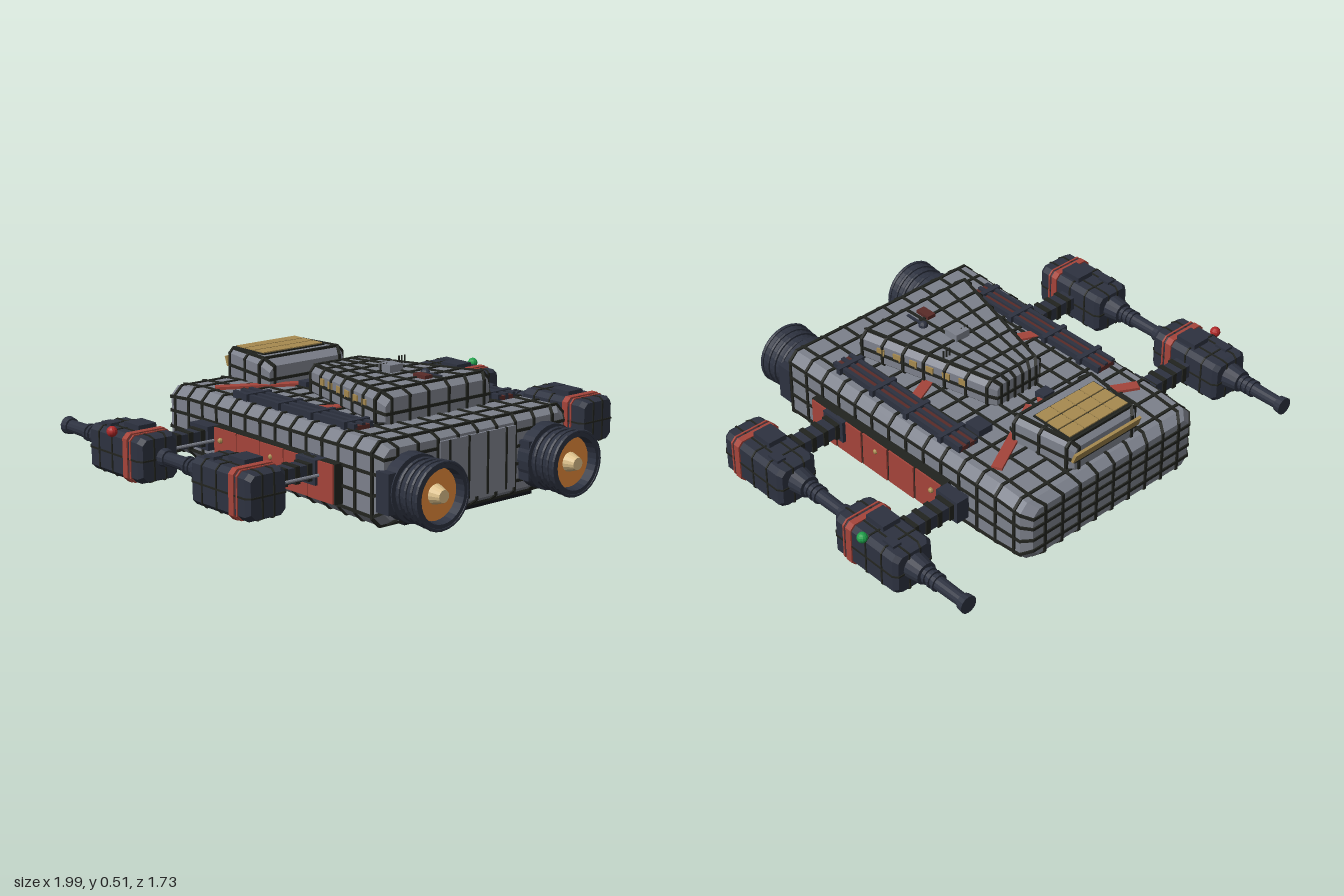
import * as THREE from 'three';
import { mergeGeometries } from 'three/addons/utils/BufferGeometryUtils.js';

const mat = (color) => new THREE.MeshStandardMaterial({ color, flatShading: true, side: THREE.DoubleSide });
const M = {
  hull: mat(0x7d818c), seam: mat(0x22241f), dark: mat(0x2d3240), black: mat(0x14161c), red: mat(0xa5443a),
  deepRed: mat(0x5a2b28), orange: mat(0xe68a3a), tan: mat(0xdcc08a), gold: mat(0xa88b50),
  green: mat(0x1fa04a), lampRed: mat(0xb02828),
};
const V = (x, y, z) => new THREE.Vector3(x, y, z);

function add(parent, name, geo, material, x = 0, y = 0, z = 0) {
  const m = new THREE.Mesh(geo, material);
  m.name = name;
  m.position.set(x, y, z);
  parent.add(m);
  return m;
}
const box = (parent, name, material, w, h, d, x, y, z) =>
  add(parent, name, new THREE.BoxGeometry(w, h, d), material, x, y, z);
// Cylinder along z; r1 is the radius at the +z end
const tubeZ = (r1, r0, len, sides = 20, open = false) =>
  new THREE.CylinderGeometry(r1, r0, len, sides, 1, open).rotateX(Math.PI / 2);

// A station is [z, halfWidth, bottom, top, chamfer]; the section is an octagon
const ring = ([z, w, b, t, c]) => [[w, b + c], [w, t - c], [w - c, t], [c - w, t], [-w, t - c], [-w, b + c], [c - w, b], [w - c, b]]
  .map(([x, y]) => V(x, y, z));

function loft(stations) {
  const rings = stations.map(ring), p = [];
  const tri = (...v) => v.forEach((q) => p.push(q.x, q.y, q.z));
  for (let i = 0; i < rings.length - 1; i++) {
    const A = rings[i], B = rings[i + 1];
    for (let j = 0; j < 8; j++) {
      const k = (j + 1) % 8;
      tri(A[j], A[k], B[k]);
      tri(A[j], B[k], B[j]);
    }
  }
  const first = rings[0], last = rings[rings.length - 1];
  for (let j = 1; j < 7; j++) {
    tri(first[0], first[j + 1], first[j]);
    tri(last[0], last[j], last[j + 1]);
  }
  const g = new THREE.BufferGeometry();
  g.setAttribute('position', new THREE.Float32BufferAttribute(p, 3));
  g.computeVertexNormals();
  return g;
}

function stationAt(stations, z) {
  let i = 0;
  while (i < stations.length - 2 && stations[i + 1][0] < z) i++;
  const a = stations[i], b = stations[i + 1], f = (z - a[0]) / (b[0] - a[0]);
  return a.map((v, k) => v + (b[k] - v) * f);
}

// Square bar between two points
function bar(a, b, t) {
  const o = new THREE.Object3D();
  o.position.copy(a).add(b).multiplyScalar(0.5);
  o.lookAt(b);
  o.updateMatrix();
  return new THREE.BoxGeometry(t, t, a.distanceTo(b) + t * 0.5).applyMatrix4(o.matrix).toNonIndexed();
}

// Raised panel seams: rings at zs, lengthwise loops at width fractions us and height fractions vs
function seams(parent, name, stations, zs, us, vs, t = 0.012) {
  const parts = [];
  const loop = (pts) => pts.forEach((p, i) => parts.push(bar(p, pts[(i + 1) % pts.length], t)));
  zs.forEach((z) => loop(ring(stationAt(stations, z))));
  us.forEach((u) => loop([
    ...stations.map(([z, w, , top, c]) => V(u * (w - c), top, z)),
    ...stations.map(([z, w, b, , c]) => V(u * (w - c), b, z)).reverse()]));
  vs.forEach((v) => {
    const side = (s) => stations.map(([z, w, b, top, c]) => V(s * w, b + c + v * (top - b - 2 * c), z));
    loop([...side(1), ...side(-1).reverse()]);
  });
  add(parent, name, mergeGeometries(parts), M.seam);
}
const steps = (a, b, n) => Array.from({ length: n }, (_, i) => a + ((b - a) * i) / (n - 1));

function engine(parent, x) {
  const g = new THREE.Group();
  g.name = 'engine';
  g.position.set(x, 0.18, 0);
  parent.add(g);
  add(g, 'engineMount', tubeZ(0.135, 0.135, 0.09, 24), M.dark, 0, 0, 0.68);
  box(g, 'mountBracket', M.dark, 0.27, 0.16, 0.07, Math.sign(x) * 0.01, 0, 0.685);
  const bell = [[0.115, 0.72], [0.118, 0.77], [0.13, 0.86], [0.108, 0.86], [0.1, 0.8]];
  add(g, 'bell', new THREE.LatheGeometry(bell.map(([r, z]) => new THREE.Vector2(r, z)), 28).rotateX(Math.PI / 2), M.dark);
  [0.745, 0.785, 0.82, 0.855].forEach((z, i) =>
    add(g, 'bellRing', new THREE.TorusGeometry(0.12 + i * 0.003, 0.008, 6, 28), M.dark, 0, 0, z));
  add(g, 'glow', tubeZ(0.106, 0.106, 0.02, 28), M.orange, 0, 0, 0.81);
  add(g, 'nozzleCone', tubeZ(0.025, 0.042, 0.05, 16), M.tan, 0, 0, 0.84);
}

// Gun pod with its arm; s is the side, z the pod centre
function gunPod(parent, s, z) {
  const g = new THREE.Group();
  g.name = 'gunPod';
  g.position.set(s * 0.875, 0, z);
  parent.add(g);
  const body = [[-0.18, 0.08, 0.115, 0.28, 0.02], [-0.16, 0.094, 0.105, 0.29, 0.02],
    [0.16, 0.094, 0.105, 0.29, 0.02], [0.18, 0.08, 0.115, 0.28, 0.02]];
  add(g, 'podBody', loft(body), M.dark);
  seams(g, 'podSeams', body, [-0.1, -0.01], [-0.45, 0.45], [0.5], 0.007);
  const grow = (z0, z1, e) => loft([[z0, 0.094 + e, 0.105 - e, 0.29 + e, 0.02], [z1, 0.094 + e, 0.105 - e, 0.29 + e, 0.02]]);
  add(g, 'podBand', grow(0.07, 0.1, 0.006), M.red);
  add(g, 'podThinBand', grow(0.112, 0.12, 0.004), M.red);
  box(g, 'podCap', M.dark, 0.085, 0.03, 0.1, -s * 0.02, 0.298, 0.02);
  box(g, 'podVent', M.dark, 0.04, 0.02, 0.06, s * 0.04, 0.292, -0.1);
  // Barrel
  add(g, 'barrelCollar', tubeZ(0.056, 0.046, 0.07, 16), M.dark, 0, 0.21, -0.21);
  add(g, 'barrel', tubeZ(0.03, 0.026, 0.23, 14), M.dark, 0, 0.21, -0.35);
  add(g, 'muzzle', tubeZ(0.034, 0.038, 0.03, 14), M.dark, 0, 0.21, -0.46);
  [-0.26, -0.285, -0.31].forEach((rz) => add(g, 'barrelRing', tubeZ(0.037, 0.037, 0.012, 14), M.dark, 0, 0.21, rz));
  // Arm back to the hull
  box(g, 'arm', M.dark, 0.36, 0.06, 0.075, -s * 0.24, 0.2, 0);
  steps(0.13, 0.37, 5).forEach((x) => box(g, 'armClamp', M.seam, 0.022, 0.07, 0.086, -s * x, 0.2, 0));
  box(g, 'armRoot', M.dark, 0.06, 0.1, 0.12, -s * 0.35, 0.2, 0);
  add(g, 'armRod', new THREE.CylinderGeometry(0.007, 0.007, 0.36, 8).rotateZ(Math.PI / 2), M.hull, -s * 0.24, 0.19, 0.063);
}

export function createModel() {
  const root = new THREE.Group();
  root.name = 'gunship';

  // Hull
  const hull = [[-0.735, 0.43, 0.09, 0.315, 0.03], [-0.7, 0.465, 0.065, 0.34, 0.035],
    [-0.55, 0.47, 0.055, 0.352, 0.035], [0.63, 0.502, 0.035, 0.36, 0.035], [0.665, 0.475, 0.06, 0.335, 0.03]];
  add(root, 'hull', loft(hull), M.hull);
  seams(root, 'hullSeams', hull, steps(-0.67, 0.63, 14), steps(-0.92, 0.92, 9), [0.03, 0.35, 0.68, 0.97]);
  box(root, 'bellyPlate', M.black, 0.68, 0.03, 1.22, 0, 0.028, 0.02);
  box(root, 'frontPanel', M.hull, 0.4, 0.25, 0.02, 0, 0.2, 0.665);
  steps(-0.15, 0.15, 4).forEach((x) => box(root, 'frontPanelSeam', M.seam, 0.01, 0.25, 0.024, x, 0.2, 0.666));
  box(root, 'bellySkid', M.dark, 0.06, 0.03, 0.09, -0.34, 0.015, 0.3);
  box(root, 'bellySensor', M.dark, 0.02, 0.02, 0.02, 0.28, 0.013, -0.06);

  // Main deckhouse, wider towards the front
  const deck = [[-0.2, 0.115, 0.34, 0.45, 0.02], [-0.175, 0.14, 0.34, 0.47, 0.025],
    [0.41, 0.298, 0.34, 0.485, 0.03], [0.445, 0.275, 0.34, 0.46, 0.03]];
  add(root, 'deckhouse', loft(deck), M.hull);
  seams(root, 'deckhouseSeams', deck, steps(-0.17, 0.41, 7), [-1, -0.62, -0.22, 0.22, 0.62, 1], [0.5]);

  // Rear cabin with gold glazing
  const cabin = [[-0.685, 0.165, 0.33, 0.445, 0.02], [-0.66, 0.185, 0.33, 0.47, 0.02],
    [-0.41, 0.222, 0.33, 0.47, 0.025], [-0.37, 0.2, 0.33, 0.44, 0.025]];
  add(root, 'rearCabin', loft(cabin), M.hull);
  seams(root, 'rearCabinSeams', cabin, [-0.66, -0.53, -0.41], [-1, 1], [0.5]);
  for (const x of steps(-0.12, 0.12, 4)) {
    for (const z of [-0.62, -0.555, -0.49]) box(root, 'roofPane', M.gold, 0.075, 0.012, 0.058, x, 0.476, z);
  }
  box(root, 'roofPaneFrame', M.seam, 0.33, 0.006, 0.2, 0, 0.474, -0.555);
  box(root, 'rearVisor', M.gold, 0.36, 0.045, 0.012, 0, 0.41, -0.693).rotation.x = -0.35;

  // Roof details
  box(root, 'roofHatch', M.hull, 0.07, 0.04, 0.07, 0.02, 0.49, 0.14);
  box(root, 'roofVent', M.deepRed, 0.04, 0.02, 0.07, 0.02, 0.488, 0.33);
  add(root, 'sensorDome', new THREE.SphereGeometry(0.02, 12, 8), M.dark, 0.08, 0.484, 0.28);
  box(root, 'sensorArm', M.dark, 0.012, 0.012, 0.09, 0.08, 0.484, 0.33);
  [[-0.01, 0.13], [0.15, 0.06]].forEach(([x, z]) => [-0.016, 0, 0.016].forEach((d) =>
    box(root, 'antenna', M.seam, 0.005, 0.04, 0.005, x + d, 0.492, z)));
  box(root, 'hullBox', M.dark, 0.07, 0.04, 0.08, 0.27, 0.365, -0.26);
  box(root, 'hullVent', M.dark, 0.06, 0.03, 0.05, -0.07, 0.365, -0.28);

  for (const s of [1, -1]) {
    engine(root, s * 0.355);
    gunPod(root, s, -0.385);
    gunPod(root, s, 0.3);

    // Painted chevrons
    const stripe = (x0, z0, x1, z1) => {
      const b = box(root, 'paintStripe', M.red, Math.hypot(x1 - x0, z1 - z0), 0.012, 0.045,
        (s * (x0 + x1)) / 2, 0.36, (z0 + z1) / 2);
      b.rotation.y = -s * Math.atan2(z1 - z0, x1 - x0);
    };
    stripe(0.39, -0.49, 0.02, -0.295);
    stripe(0.42, 0.01, 0.2, 0.11);

    // Roof rails with red channels
    box(root, 'railBed', M.deepRed, 0.085, 0.02, 0.76, s * 0.38, 0.366, 0.06);
    [0.34, 0.38, 0.42].forEach((x) => box(root, 'rail', M.dark, 0.018, 0.03, 0.76, s * x, 0.37, 0.06));
    steps(-0.22, 0.39, 4).forEach((z) => box(root, 'railClamp', M.dark, 0.13, 0.03, 0.022, s * 0.38, 0.374, z));

    // Red side armour
    const armourTilt = 0.022;
    steps(-0.245, 0.375, 5).forEach((z) => {
      const x = s * (0.507 + armourTilt * z);
      box(root, 'armourPanel', M.red, 0.055, 0.155, 0.146, x, 0.17, z);
      box(root, 'armourSeam', M.seam, 0.05, 0.16, 0.16, x - s * 0.004, 0.17, z);
    });
    [-0.27, 0.06].forEach((z) =>
      add(root, 'sideLamp', new THREE.SphereGeometry(0.012, 8, 6), M.gold, s * 0.533, 0.2, z));

    // Deckhouse side windows
    steps(-0.06, 0.32, 6).forEach((z) => {
      const w = stationAt(deck, z)[1];
      box(root, 'sideWindow', M.gold, 0.01, 0.03, 0.035, s * (w + 0.001), 0.425, z).rotation.y = s * 0.26;
    });

    // Navigation lamps
    add(root, 'navLamp', new THREE.SphereGeometry(0.022, 12, 8), s > 0 ? M.green : M.lampRed, s * 0.975, 0.29, -0.385);
  }
  return root;
}
